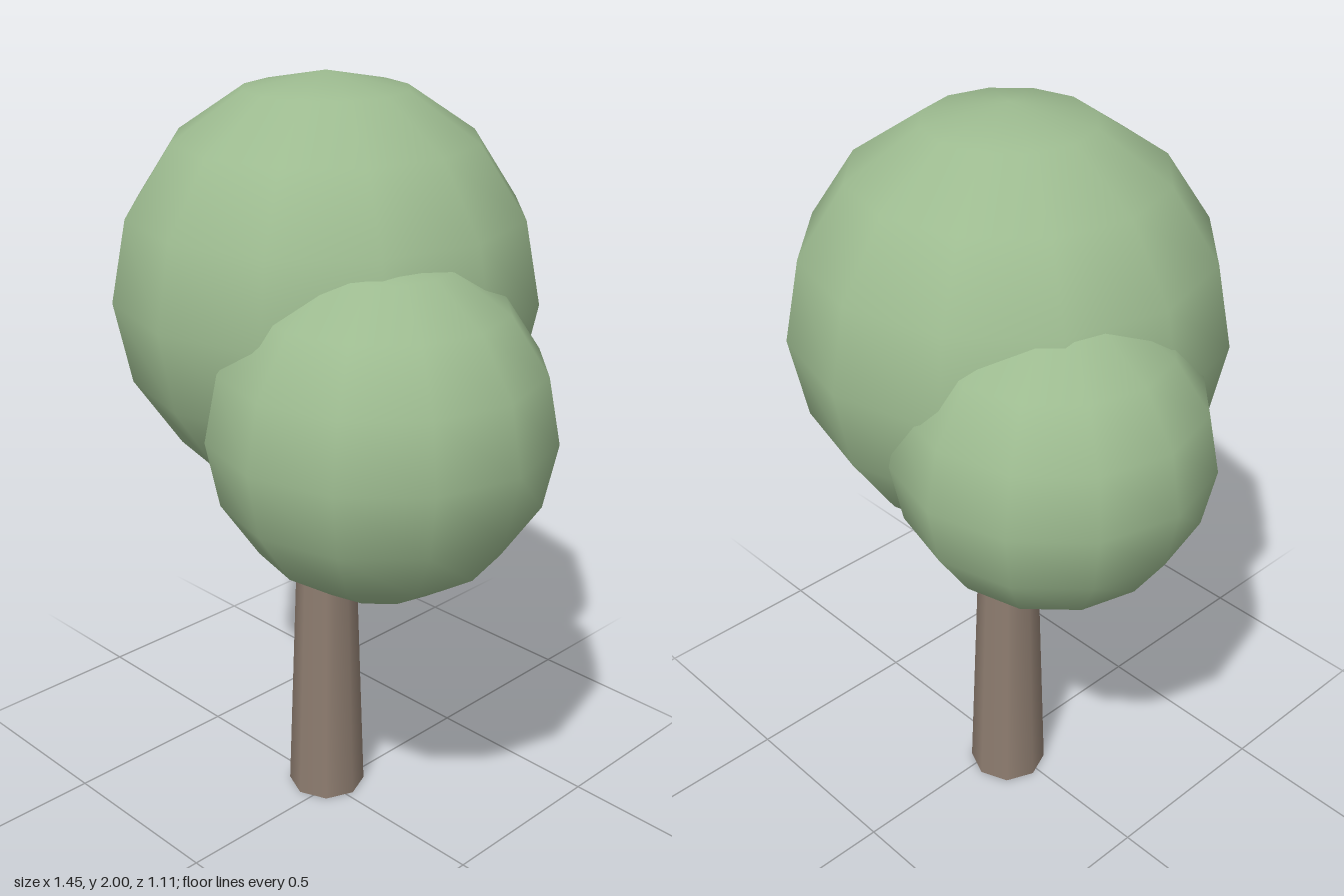
import * as THREE from 'three';

export function createModel() {
  const tree = new THREE.Group();
  tree.name = 'tree';

  const leaf = new THREE.MeshStandardMaterial({ color: 0x9dbb90 });
  const bark = new THREE.MeshStandardMaterial({ color: 0x8e7d70 });

  const add = (name, geometry, material, x, y, z) => {
    const mesh = new THREE.Mesh(geometry, material);
    mesh.name = name;
    mesh.position.set(x, y, z);
    tree.add(mesh);
  };

  // Tapered eight-sided trunk, its top hidden inside the crown
  const trunkHeight = 1.07;
  add('trunk', new THREE.CylinderGeometry(0.068, 0.106, trunkHeight, 8), bark, -0.038, trunkHeight / 2, -0.02);

  // Three overlapping balls of leaves: name, radius, centre
  const crown = [
    ['mainFoliage', 0.535, -0.038, 1.465, -0.02],
    ['leftFoliage', 0.42, 0.305, 1.232, 0.134],
    ['rightFoliage', 0.38, -0.347, 1.308, -0.174],
  ];
  for (const [name, radius, x, y, z] of crown) {
    add(name, new THREE.SphereGeometry(radius, 12, 8), leaf, x, y, z);
  }

  return tree;
}
